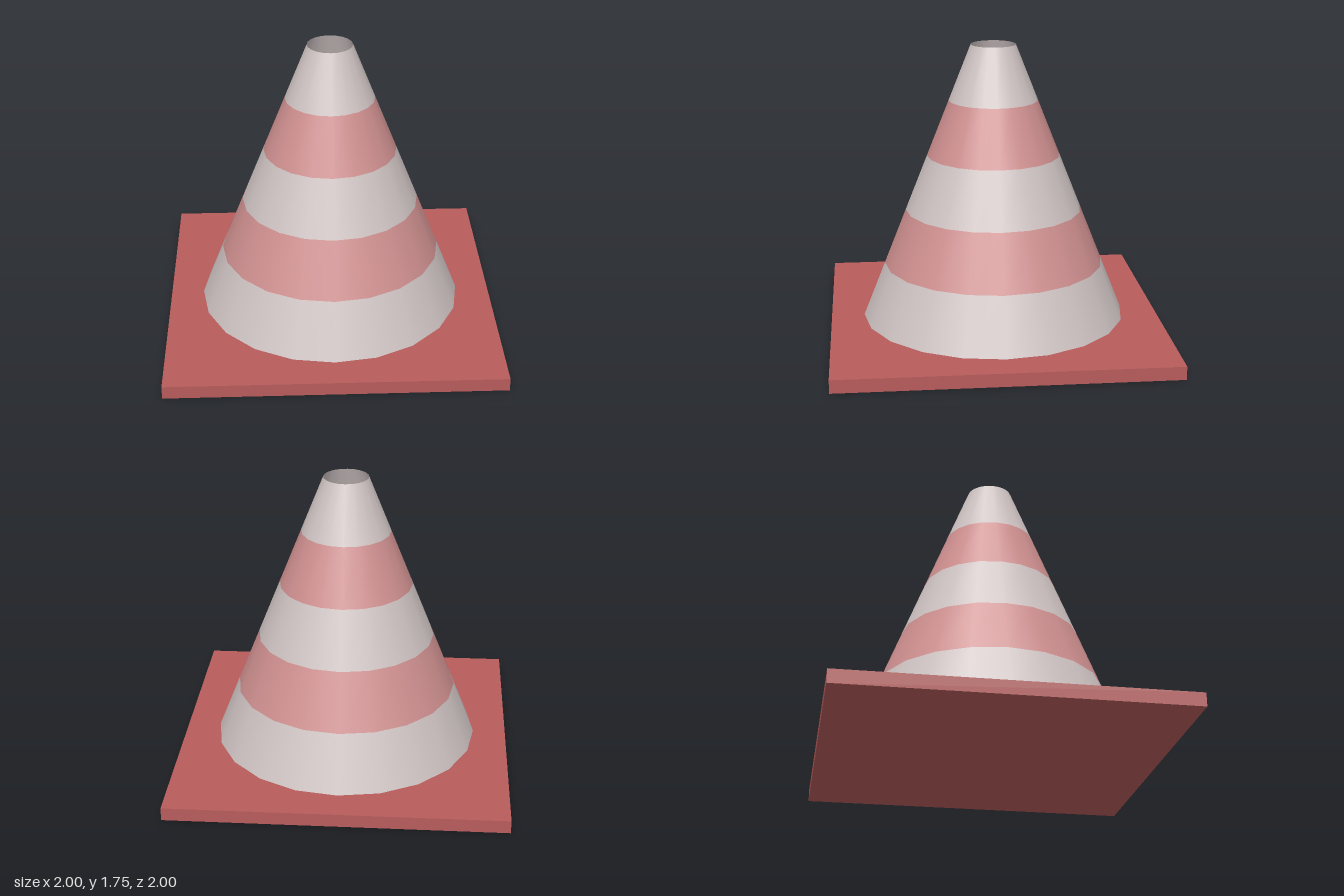
import * as THREE from 'three';

export function createModel() {
  const model = new THREE.Group();
  model.name = 'trafficCone';

  const baseHeight = 0.08, coneTop = 1.755;
  const bottomRadius = 0.8, topRadius = 0.135;
  const bands = 5, sides = 20;

  const red = new THREE.MeshStandardMaterial({ color: 0xb85c5c });
  const pale = new THREE.MeshStandardMaterial({ color: 0xd0c4c4, side: THREE.DoubleSide });
  const stripe = new THREE.MeshStandardMaterial({ color: 0xd09090, side: THREE.DoubleSide });

  // Square foot plate
  const base = new THREE.Mesh(new THREE.BoxGeometry(2, baseHeight, 2), red);
  base.name = 'base';
  base.position.y = baseHeight / 2;
  model.add(base);

  // Hollow cone, open at the top, in alternating bands
  const cone = new THREE.Group();
  cone.name = 'cone';
  const bandHeight = (coneTop - baseHeight) / bands;
  const radiusAt = (i) => THREE.MathUtils.lerp(bottomRadius, topRadius, i / bands);
  for (let i = 0; i < bands; i++) {
    const band = new THREE.Mesh(
      new THREE.CylinderGeometry(radiusAt(i + 1), radiusAt(i), bandHeight, sides, 1, true),
      i % 2 ? stripe : pale
    );
    band.name = i % 2 ? 'redBand' : 'paleBand';
    band.position.y = baseHeight + (i + 0.5) * bandHeight;
    cone.add(band);
  }
  model.add(cone);

  return model;
}
